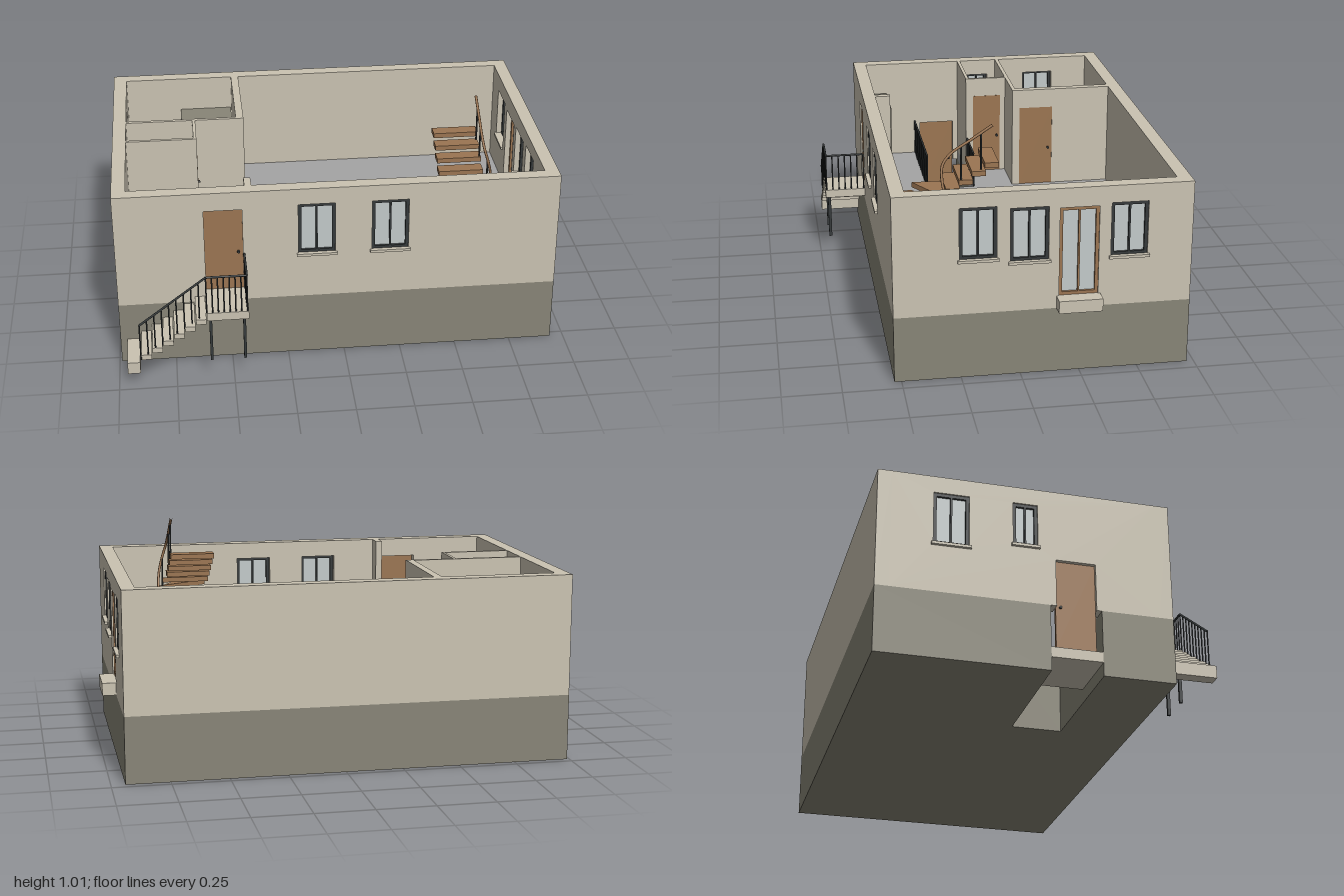
import * as THREE from 'three';

const mat = (name, color, side = THREE.FrontSide) => {
  const m = new THREE.MeshStandardMaterial({ color, side });
  m.name = name;
  return m;
};

export function createModel() {
  const wallM = mat('plaster', 0xcac3b2), plinthM = mat('plinth', 0x888577), floorM = mat('floor', 0xa4a4a4);
  const wood = mat('wood', 0x9b7552), metal = mat('metal', 0x35393a), glass = mat('glass', 0xc3caca);
  const house = new THREE.Group();
  house.name = 'house';
  const FLOOR = 0.34, TOP = 0.82, BASE = 0.29;

  const add = (parent, name, geo, m) => {
    const mesh = new THREE.Mesh(geo, m);
    mesh.name = name;
    parent.add(mesh);
    return mesh;
  };
  // Box given by its min and max on each axis
  const box = (name, m, x0, x1, y0, y1, z0, z1, parent = house) => {
    const mesh = add(parent, name, new THREE.BoxGeometry(x1 - x0, y1 - y0, z1 - z0), m);
    mesh.position.set((x0 + x1) / 2, (y0 + y1) / 2, (z0 + z1) / 2);
    return mesh;
  };
  // Round bar between two points
  const bar = (name, m, a, b, r = 0.004, parent = house) => {
    const p = new THREE.Vector3(...a), q = new THREE.Vector3(...b), d = q.clone().sub(p);
    const mesh = add(parent, name, new THREE.CylinderGeometry(r, r, d.length(), 8), m);
    mesh.position.copy(p).add(q).multiplyScalar(0.5);
    mesh.quaternion.setFromUnitVectors(new THREE.Vector3(0, 1, 0), d.normalize());
    return mesh;
  };
  // Horizontal slab from a plan outline of [x, z] points
  const slab = (name, m, pts, y, h) => {
    const shape = new THREE.Shape(pts.map(([x, z]) => new THREE.Vector2(x, -z)));
    const geo = new THREE.ExtrudeGeometry(shape, { depth: h, bevelEnabled: false });
    geo.rotateX(-Math.PI / 2);
    add(house, name, geo, m).position.y = y;
  };
  // Upright wall along x or z; openings are [u0, u1, y0, y1], those at the foot notch the outline
  const wall = (name, axis, u0, u1, at, thick, y0, openings = []) => {
    const shape = new THREE.Shape();
    shape.moveTo(u0, y0);
    for (const [a, b, c, d] of openings) {
      if (c <= y0) {
        shape.lineTo(a, y0); shape.lineTo(a, d); shape.lineTo(b, d); shape.lineTo(b, y0);
      } else {
        const v = (x, y) => new THREE.Vector2(x, y);
        shape.holes.push(new THREE.Path([v(a, c), v(a, d), v(b, d), v(b, c)]));
      }
    }
    shape.lineTo(u1, y0); shape.lineTo(u1, TOP); shape.lineTo(u0, TOP);
    const geo = new THREE.ExtrudeGeometry(shape, { depth: thick, bevelEnabled: false });
    if (axis === 'z') geo.rotateY(-Math.PI / 2).translate(at + thick, 0, 0);
    else geo.translate(0, 0, at);
    add(house, name, geo, wallM);
  };

  // Plinth and floor, both notched for the side entrance
  const plan = (x0, x1, z0, z1) =>
    [[x0, z0], [x1, z0], [x1, z1], [x0, z1], [x0, 0.222], [-0.39, 0.222], [-0.39, 0.005], [x0, 0.005]];
  slab('plinth', plinthM, plan(-0.99, 0.94, -0.72, 0.53), 0, BASE);
  slab('floor', floorM, plan(-0.93, 0.88, -0.66, 0.47), BASE, FLOOR - BASE);

  // Outer walls
  const frontWin = [[-0.2, -0.04, 0.505, 0.745], [0.12, 0.28, 0.505, 0.745]];
  const rightWin = [[-0.53, -0.375, 0.51, 0.745], [-0.115, 0.045, 0.51, 0.745], [0.1, 0.255, 0.53, 0.757]];
  const leftWin = [[-0.485, -0.335, 0.51, 0.745], [-0.15, -0.045, 0.55, 0.745]];
  wall('frontWall', 'x', -0.99, 0.94, 0.47, 0.06, BASE, [[-0.605, -0.44, 0.345, 0.735], ...frontWin]);
  wall('backWall', 'x', -0.99, 0.94, -0.72, 0.06, BASE);
  wall('leftSideWall', 'z', -0.66, 0.47, 0.88, 0.06, BASE, [[-0.325, -0.16, 0.345, 0.735], ...rightWin]);
  wall('rightSideWall', 'z', -0.66, 0.47, -0.99, 0.06, BASE, [[0.03, 0.2, BASE, 0.5], ...leftWin]);

  // Inner partitions
  wall('kitchenWall', 'z', -0.66, -0.19, -0.425, 0.035, FLOOR, [[-0.385, -0.225, FLOOR, 0.73]]);
  wall('kitchenBathWall', 'x', -0.93, -0.425, -0.207, 0.017, FLOOR);
  wall('bathDoorWall', 'z', -0.19, 0.005, -0.627, 0.014, FLOOR, [[-0.165, -0.03, FLOOR, 0.73]]);
  wall('bathStairWall', 'x', -0.93, -0.627, -0.01, 0.015, FLOOR);
  wall('hallPier', 'z', 0.4, 0.47, -0.425, 0.03, FLOOR);

  // Framed unit facing local +z with its outer wall face at z = 0
  const framed = (name, w, h, m, x, y, z, turn, sill) => {
    const g = new THREE.Group();
    g.name = name;
    const W = w / 2, H = h / 2, t = 0.014, z0 = -0.035, z1 = -0.006;
    for (const s of [-1, 1]) {
      box('jamb', m, s * (W - t / 2) - t / 2, s * (W - t / 2) + t / 2, -H, H, z0, z1, g);
      box('rail', m, -W + t, W - t, s * (H - t / 2) - t / 2, s * (H - t / 2) + t / 2, z0, z1, g);
    }
    box('mullion', m, -0.004, 0.004, -H, H, z0, z1, g);
    box('pane', glass, -W + t, W - t, -H + t, H - t, -0.025, -0.017, g);
    if (sill) box('sill', wallM, -W - 0.008, W + 0.008, -H - 0.01, -H + 0.002, -0.07, 0.013, g);
    g.position.set(x, y, z);
    g.rotation.y = turn;
    house.add(g);
  };
  const mid = ([a, b, c, d]) => [(a + b) / 2, (c + d) / 2, b - a, d - c];
  for (const o of frontWin) { const [u, y, w, h] = mid(o); framed('frontWindow', w, h, metal, u, y, 0.53, 0, true); }
  for (const o of rightWin) { const [u, y, w, h] = mid(o); framed('leftSideWindow', w, h, metal, 0.94, y, u, Math.PI / 2, true); }
  for (const o of leftWin) { const [u, y, w, h] = mid(o); framed('rightSideWindow', w, h, metal, -0.99, y, u, -Math.PI / 2, true); }
  framed('gardenDoor', 0.165, 0.39, wood, 0.94, 0.54, -0.2425, Math.PI / 2, false);
  box('gardenStep', wallM, 0.94, 1, 0.29, 0.345, -0.335, -0.15);

  // Solid doors with a knob on each side
  const door = (name, w, h, x, y, z, turn) => {
    const g = new THREE.Group();
    g.name = name;
    box('leaf', wood, -w / 2, w / 2, 0, h, -0.008, 0.008, g);
    bar('knobs', metal, [w * 0.38, h * 0.47, -0.018], [w * 0.38, h * 0.47, 0.018], 0.006, g);
    g.position.set(x, y, z);
    g.rotation.y = turn;
    house.add(g);
  };
  door('frontDoor', 0.165, 0.39, -0.5225, 0.345, 0.515, 0);
  door('kitchenDoor', 0.16, 0.39, -0.4, FLOOR, -0.305, Math.PI / 2);
  door('bathDoor', 0.135, 0.39, -0.62, FLOOR, -0.0975, Math.PI / 2);
  door('sideDoor', 0.17, 0.395, -0.965, 0.105, 0.115, Math.PI / 2);

  // Side entrance landing and short flight
  box('sideLanding', wallM, -0.99, -0.71, 0.06, 0.105, 0.005, 0.222);
  for (let i = 0; i < 6; i++) {
    const x = -0.39 - i * 0.0533, y = FLOOR - (i + 1) * 0.0336;
    box('entryTread', wood, x - 0.06, x, y - 0.018, y, 0.005, 0.222);
  }

  // Railing: rail along a path, upright balusters of given height
  const railing = (name, a, b, n, height, first = 0) => {
    bar(name, metal, a, b, 0.005);
    for (let i = first; i <= n; i++) {
      const p = a.map((v, k) => v + (b[k] - v) * i / n);
      bar('baluster', metal, p, [p[0], p[1] - height, p[2]], 0.0032);
    }
  };
  railing('stairwellRail', [-0.925, 0.51, 0.227], [-0.39, 0.51, 0.227], 18, 0.17);
  railing('stairwellRail', [-0.61, 0.51, 0], [-0.39, 0.51, 0], 8, 0.17);

  // Outside stair with its landing
  box('outerLanding', wallM, -0.61, -0.43, 0.307, 0.345, 0.53, 0.72);
  box('bottomStep', wallM, -0.96, -0.905, 0.06, 0.115, 0.53, 0.72);
  for (let i = 0; i < 6; i++) {
    const x = -0.875 + i * 0.048, y = 0.14 + i * 0.0325;
    box('outerTread', wallM, x - 0.022, x + 0.022, y - 0.012, y + 0.012, 0.53, 0.72);
  }
  for (const x of [-0.595, -0.45]) box('landingPost', metal, x - 0.006, x + 0.006, 0.1, 0.307, 0.695, 0.709);
  railing('outerStairRail', [-0.9, 0.3, 0.714], [-0.61, 0.52, 0.714], 9, 0.175);
  railing('landingRail', [-0.61, 0.52, 0.714], [-0.436, 0.52, 0.714], 7, 0.175);
  railing('landingRail', [-0.436, 0.52, 0.714], [-0.436, 0.52, 0.535], 6, 0.175, 1);

  // Winding stair: straight flight, six wedge treads, straight flight back
  const rise = 0.0357, px = 0.665, pz = 0.27, thick = 0.022;
  const level = i => FLOOR + (i + 1) * rise;
  for (let i = 0; i < 4; i++) {
    const z = 0.05 + i * 0.055, back = pz - i * 0.055;
    box('lowerTread', wood, 0.68, 0.88, level(i) - thick, level(i), z, z + 0.06);
    box('upperTread', wood, 0.452, 0.65, level(i + 10) - thick, level(i + 10), back - 0.06, back);
  }
  const edge = a => {
    const c = Math.cos(a), s = Math.sin(a);
    const t = Math.min(0.213 / Math.max(Math.abs(c), 1e-6), 0.2 / Math.max(s, 1e-6));
    return [px + c * t, pz + s * t];
  };
  const corner = Math.atan2(0.2, 0.213);
  for (let i = 0; i < 6; i++) {
    const a = i * Math.PI / 6, b = a + Math.PI / 6;
    const turns = [corner, Math.PI - corner].filter(c => c > a && c < b);
    slab('winderTread', wood, [[px, pz], edge(a), ...turns.map(edge), edge(b)], level(i + 4) - thick, thick);
  }
  box('stairCurb', wallM, 0.44, 0.45, FLOOR, FLOOR + 0.02, 0.04, 0.47);

  // Stair handrail and its posts
  const path = new THREE.CatmullRomCurve3([
    [0.688, 0.53, 0.06], [0.688, 0.6, 0.16], [0.688, 0.67, 0.25], [0.68, 0.73, 0.28], [0.665, 0.79, 0.289],
    [0.65, 0.84, 0.284], [0.643, 0.885, 0.25], [0.643, 0.945, 0.16], [0.643, 1.003, 0.072],
  ].map(p => new THREE.Vector3(...p)));
  add(house, 'stairHandrail', new THREE.TubeGeometry(path, 48, 0.006, 8), wood);
  const posts = [[0.688, 0.535, 0.07, 0.355], [0.688, 0.625, 0.195, 0.45], [0.665, 0.787, 0.285, FLOOR],
    [0.643, 0.915, 0.205, 0.76], [0.643, 0.972, 0.12, 0.81]];
  for (const [x, y, z, foot] of posts) bar('stairPost', metal, [x, y, z], [x, foot, z]);

  // Cupboards, kitchen units and bathroom fittings
  box('kitchenCupboard', plinthM, -0.675, -0.43, FLOOR, 0.66, -0.655, -0.54);
  box('hallCupboard', plinthM, -0.915, -0.67, FLOOR, 0.67, 0.37, 0.46);
  box('bookcase', wood, -0.925, -0.565, FLOOR, 0.66, -0.29, -0.212);
  for (const x of [-0.92, -0.81]) {
    box('appliance', glass, x, x + 0.105, FLOOR, 0.51, -0.65, -0.54);
    box('applianceHandle', metal, x + 0.025, x + 0.08, 0.485, 0.495, -0.54, -0.533);
  }
  box('showerTray', glass, -0.92, -0.83, FLOOR, 0.42, -0.14, -0.05);
  box('washbasin', glass, -0.755, -0.68, 0.46, 0.5, -0.19, -0.13);
  box('basinStand', glass, -0.73, -0.705, FLOOR, 0.46, -0.185, -0.155);
  bar('tap', metal, [-0.7175, 0.5, -0.175], [-0.7175, 0.525, -0.165], 0.004);

  return house;
}
